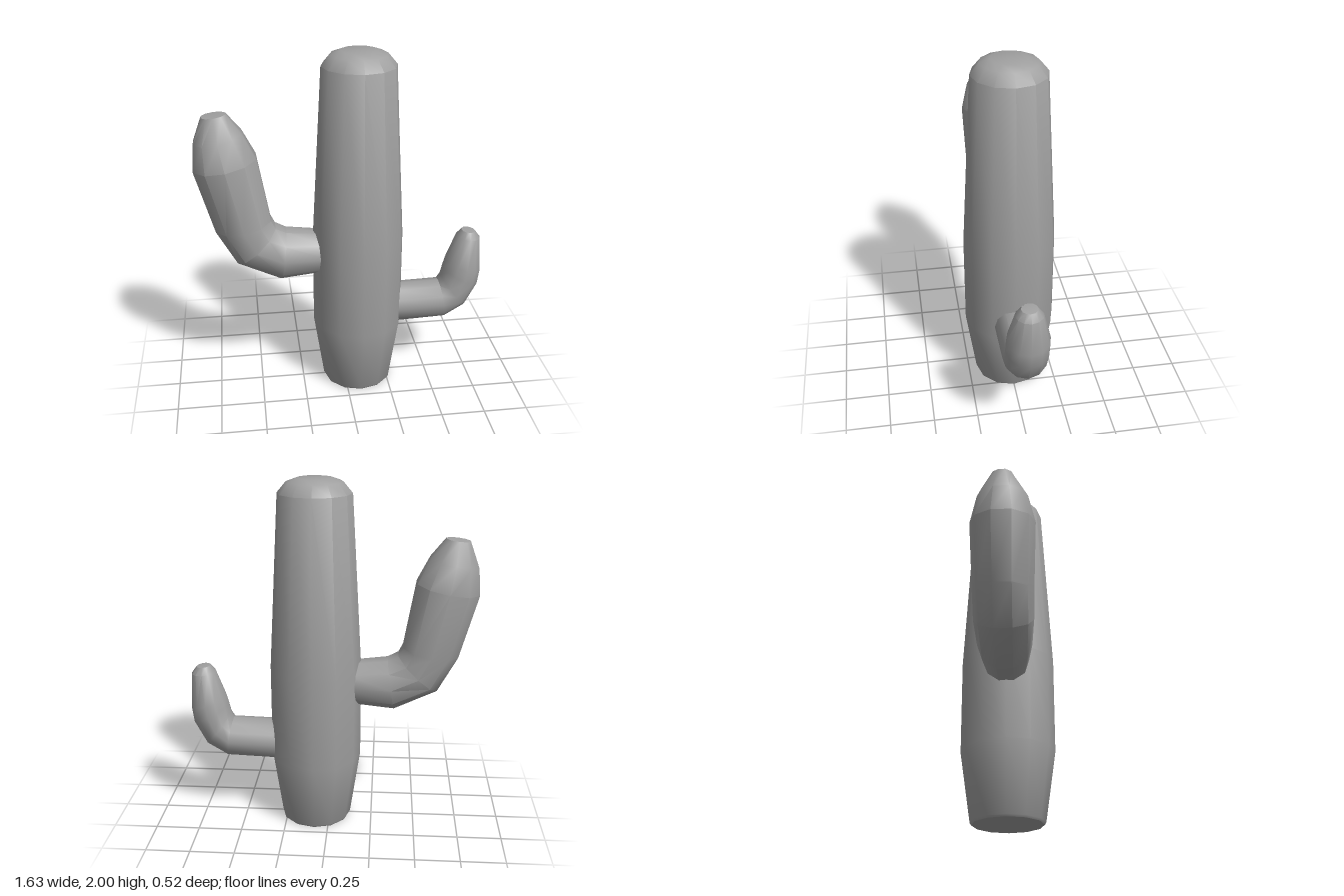
import * as THREE from 'three';
import { toCreasedNormals } from 'three/addons/utils/BufferGeometryUtils.js';

const CREASE = 0.66;

// Skins rings given as [outerX, outerY, innerX, innerY, halfDepth]; side is the arm's direction along x
function armGeometry(rings, sides, side, phase) {
  const pos = [], idx = [];
  const reach = Math.cos(phase);
  for (const [ax, ay, bx, by, depth] of rings) {
    const cx = (ax + bx) / 2, cy = (ay + by) / 2;
    const ux = (bx - ax) / 2 / reach, uy = (by - ay) / 2 / reach;
    for (let j = 0; j < sides; j++) {
      const t = phase + (j / sides) * Math.PI * 2;
      pos.push(cx + ux * Math.cos(t), cy + uy * Math.cos(t), side * depth * Math.sin(t));
    }
  }
  for (let i = 0; i < rings.length - 1; i++) {
    for (let j = 0; j < sides; j++) {
      const k = (j + 1) % sides;
      const a = i * sides + j, b = i * sides + k;
      idx.push(a, b, b + sides, a, b + sides, a + sides);
    }
  }
  // Closed tip
  const [ax, ay, bx, by] = rings[rings.length - 1];
  const centre = pos.length / 3, base = (rings.length - 1) * sides;
  pos.push((ax + bx) / 2, (ay + by) / 2 + 0.005, 0);
  for (let j = 0; j < sides; j++) idx.push(base + j, base + (j + 1) % sides, centre);

  const g = new THREE.BufferGeometry();
  g.setAttribute('position', new THREE.Float32BufferAttribute(pos, 3));
  g.setIndex(idx);
  g.computeVertexNormals();
  return toCreasedNormals(g, CREASE);
}

export function createModel() {
  const group = new THREE.Group();
  const grey = new THREE.MeshStandardMaterial({ color: 0xa0a0a0 });
  grey.name = 'cactus grey';
  const add = (name, geometry) => {
    const mesh = new THREE.Mesh(geometry, grey);
    mesh.name = name;
    group.add(mesh);
    return mesh;
  };

  // Twelve-sided trunk, widest in the lower middle
  const profile = [
    [0, 0], [0.195, 0], [0.203, 0.012], [0.26, 0.4], [0.26, 0.93],
    [0.205, 1.92], [0.155, 1.98], [0.1, 2], [0, 2],
  ].map(([r, y]) => new THREE.Vector2(r, y));
  const trunk = add('trunk', toCreasedNormals(new THREE.LatheGeometry(profile, 12), CREASE));
  trunk.position.x = 0.08;

  // Large arm on the model's right
  add('largeArm', armGeometry([
    [-0.1, 0.73, -0.1, 0.965, 0.12],
    [-0.37, 0.705, -0.33, 0.99, 0.145],
    [-0.61, 0.82, -0.39, 1.02, 0.157],
    [-0.72, 1.02, -0.415, 1.07, 0.16],
    [-0.82, 1.38, -0.48, 1.44, 0.173],
    [-0.81, 1.53, -0.55, 1.58, 0.135],
    [-0.76, 1.67, -0.63, 1.685, 0.06],
  ], 10, -1, Math.PI / 10));

  // Small arm on the model's left
  add('smallArm', armGeometry([
    [0.27, 0.362, 0.27, 0.597, 0.118],
    [0.6, 0.375, 0.565, 0.605, 0.118],
    [0.725, 0.45, 0.58, 0.635, 0.12],
    [0.8, 0.59, 0.59, 0.69, 0.12],
    [0.812, 0.68, 0.605, 0.74, 0.118],
    [0.8, 0.88, 0.66, 0.89, 0.075],
    [0.77, 0.92, 0.69, 0.928, 0.045],
  ], 12, 1, 0));

  return group;
}
